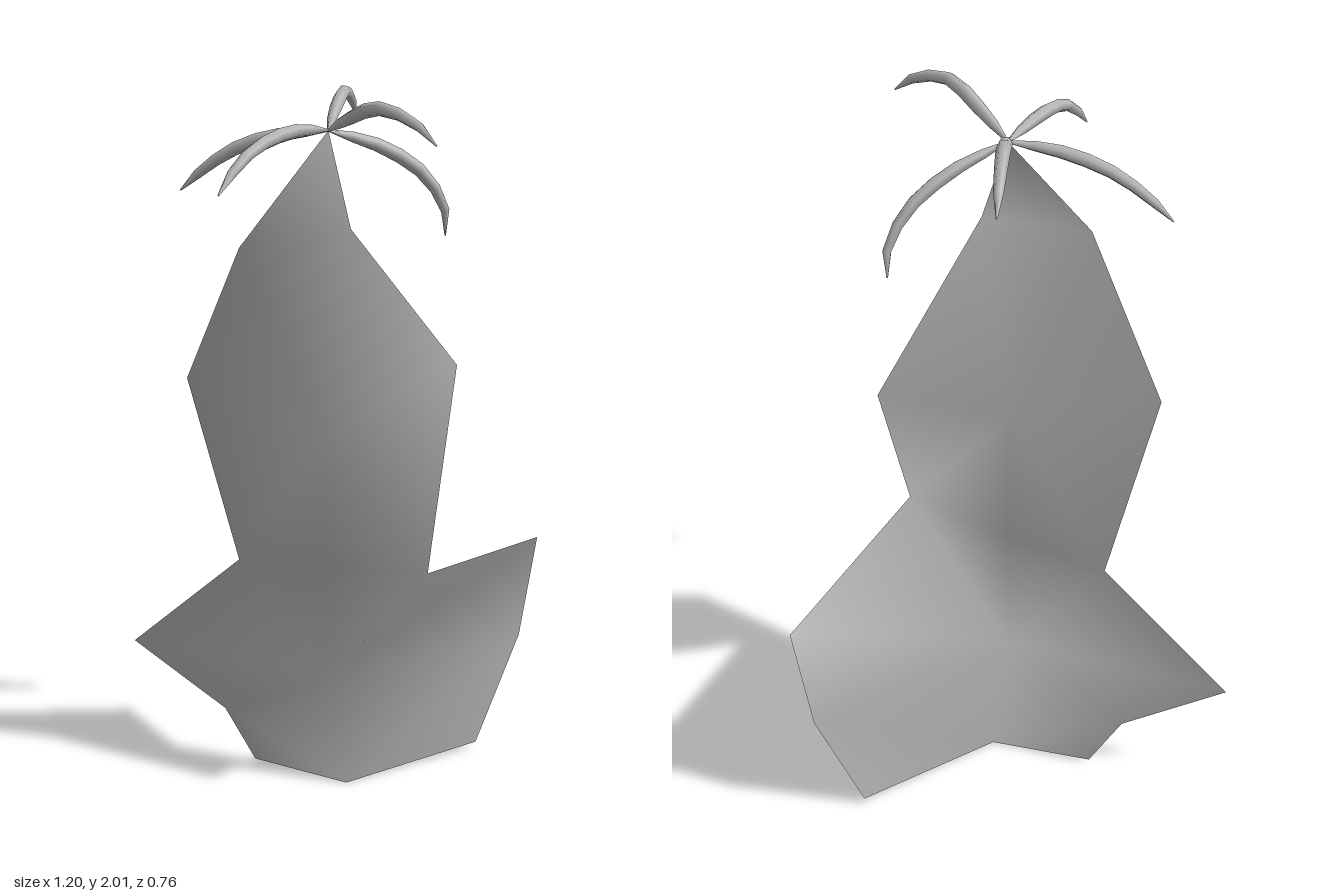
import * as THREE from 'three';

const grey = new THREE.MeshStandardMaterial({ color: 0xb8b8b8, side: THREE.DoubleSide });
grey.name = 'grey';

// Corners of the folded sheet: l = left edge in front view, r = right edge, c = middle ridge
const corners = {
  top: [0, 1.91, 0.02],
  l1: [-0.22, 1.63, 0.10], r1: [0.06, 1.68, 0.10],
  l2: [-0.39, 1.23, -0.09], c2: [-0.01, 1.11, 0.055], r2: [0.34, 1.28, -0.08],
  l3: [-0.26, 0.69, -0.10], c3: [0, 0.73, 0.03], r3: [0.27, 0.78, 0.17],
  l4: [-0.60, 0.35, -0.25], c4: [0, 0.37, -0.01], r4: [0.60, 0.69, -0.305],
  l5: [-0.32, 0.17, -0.17], r5: [0.56, 0.37, -0.305],
  l6: [-0.23, 0.01, -0.15], c6: [0.05, 0, -0.045], r6: [0.44, 0.02, -0.265],
};
const triangles = [
  'top l1 r1', 'l1 l2 c2', 'l1 c2 r1', 'r1 c2 r2',
  'l2 l3 c2', 'c2 l3 c3', 'c2 c3 r3', 'c2 r3 r2',
  'l3 c4 c3', 'c3 c4 r3', 'l3 l4 c4', 'r3 c4 r4',
  'l4 l5 c4', 'r4 c4 r5', 'l5 c6 c4', 'l5 l6 c6', 'r5 c4 c6', 'r5 c6 r6',
];

function makeSheet() {
  const names = Object.keys(corners);
  const geometry = new THREE.BufferGeometry();
  geometry.setAttribute('position', new THREE.Float32BufferAttribute(Object.values(corners).flat(), 3));
  geometry.setIndex(triangles.flatMap((t) => t.split(' ').map((n) => names.indexOf(n))));
  geometry.computeVertexNormals();
  const mesh = new THREE.Mesh(geometry, grey);
  mesh.name = 'foldedSheet';
  return mesh;
}

// Curved arms spreading from the tip of the sheet
const armPaths = {
  backArm: [[0.015, 1.955, -0.10], [0.03, 1.978, -0.22], [0.045, 1.95, -0.32], [0.055, 1.90, -0.38]],
  leftArm: [[-0.12, 1.895, -0.01], [-0.24, 1.855, -0.045], [-0.33, 1.795, -0.07], [-0.39, 1.74, -0.09]],
  frontLeftArm: [[-0.07, 1.922, 0.12], [-0.14, 1.91, 0.24], [-0.19, 1.875, 0.32], [-0.235, 1.81, 0.38]],
  frontRightArm: [[0.06, 1.955, 0.12], [0.13, 1.99, 0.235], [0.21, 1.968, 0.31], [0.262, 1.922, 0.355]],
  rightArm: [[0.13, 1.865, -0.03], [0.24, 1.79, -0.07], [0.297, 1.695, -0.095], [0.30, 1.625, -0.105]],
};
const radii = [0.003, 0.013, 0.017, 0.018, 0.017, 0.015, 0.012, 0.002];

function makeArm(name, points) {
  const path = new THREE.CatmullRomCurve3([corners.top, ...points].map((p) => new THREE.Vector3(...p)));
  const steps = radii.length - 1, sides = 6;
  const geometry = new THREE.TubeGeometry(path, steps, 1, sides);
  const position = geometry.attributes.position;
  const v = new THREE.Vector3();
  // Taper each ring towards the path
  for (let i = 0; i < position.count; i++) {
    const ring = Math.floor(i / (sides + 1));
    const centre = path.getPointAt(ring / steps);
    v.fromBufferAttribute(position, i).sub(centre).multiplyScalar(radii[ring]).add(centre);
    position.setXYZ(i, v.x, v.y, v.z);
  }
  const mesh = new THREE.Mesh(geometry, grey);
  mesh.name = name;
  return mesh;
}

export function createModel() {
  const model = new THREE.Group();
  model.name = 'hangingSheet';
  model.add(makeSheet());
  for (const [name, points] of Object.entries(armPaths)) model.add(makeArm(name, points));
  return model;
}
